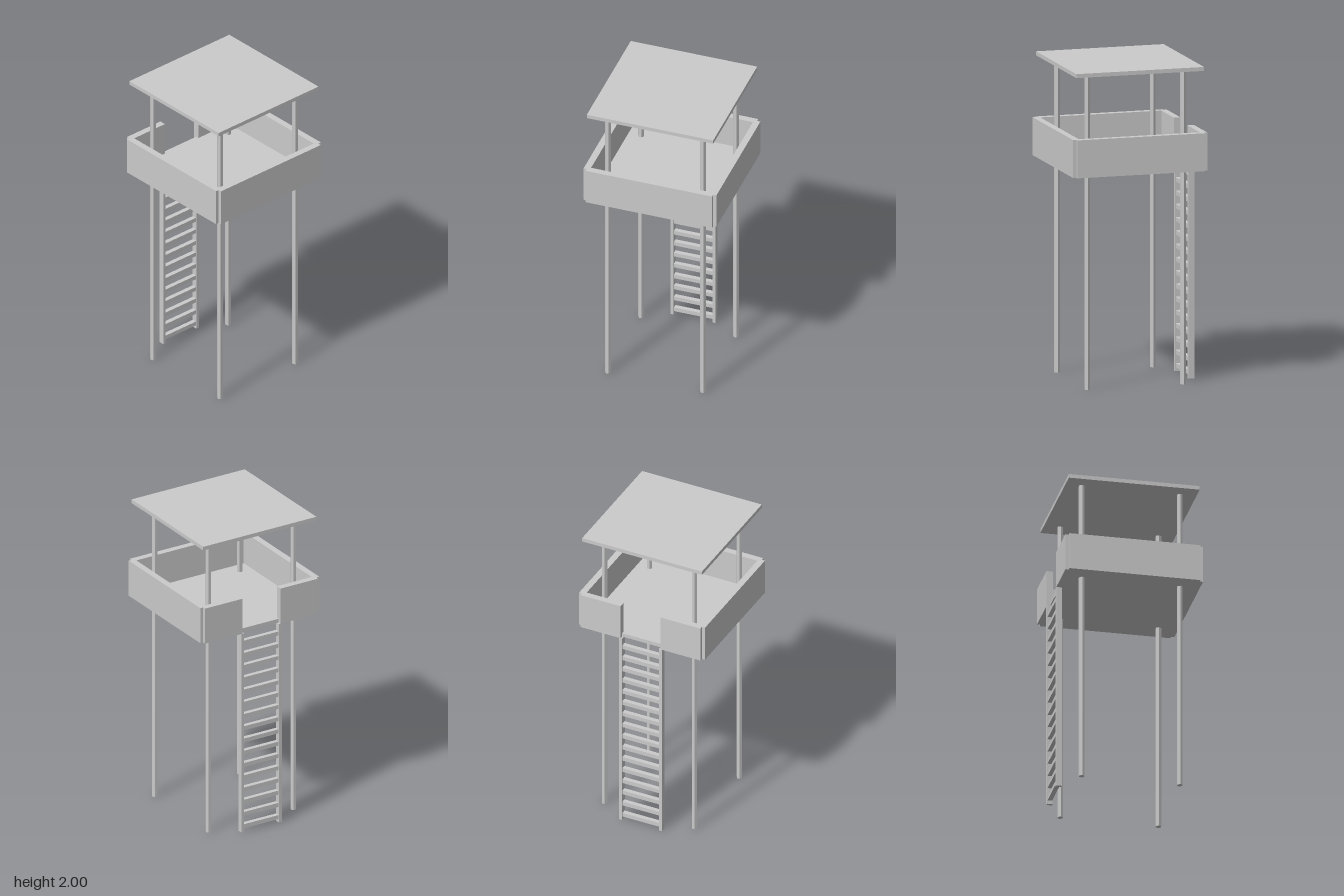
import * as THREE from 'three';

const HALF = 0.413;      // half width of platform and roof
const WALL = 0.042;      // wall thickness
const DECK_Y = 1.35;     // underside of the platform
const WALL_H = 0.238;

export function createModel() {
  const root = new THREE.Group();
  const material = new THREE.MeshStandardMaterial({ color: 0xcccccc, flatShading: true });

  function add(parent, name, geometry, x, y, z) {
    const mesh = new THREE.Mesh(geometry, material);
    mesh.name = name;
    mesh.position.set(x, y, z);
    parent.add(mesh);
  }
  const box = (parent, name, w, h, d, x, y, z) =>
    add(parent, name, new THREE.BoxGeometry(w, h, d), x, y, z);

  // Roof and platform floor
  box(root, 'roof', 2 * HALF, 0.025, 2 * HALF, 0, 1.9875, 0);
  box(root, 'floor', 2 * HALF, 0.025, 2 * HALF, 0, DECK_Y + 0.0125, 0);

  // Four hexagonal posts running from the ground to the roof
  const posts = new THREE.Group();
  posts.name = 'posts';
  root.add(posts);
  const postGeometry = new THREE.CylinderGeometry(0.0186, 0.0186, 1.98, 6);
  for (const x of [-0.31, 0.31])
    for (const z of [-0.31, 0.31]) add(posts, 'post', postGeometry, x, 0.99, z);

  // Parapet walls, with an opening on the ladder side
  const walls = new THREE.Group();
  walls.name = 'walls';
  root.add(walls);
  const wallY = DECK_Y + WALL_H / 2;
  const gap = 0.138;
  box(walls, 'frontWall', 2 * HALF, WALL_H, WALL, 0, wallY, HALF);
  box(walls, 'backWall', 2 * HALF, WALL_H, WALL, 0, wallY, -HALF);
  box(walls, 'leftWall', WALL, WALL_H, 2 * HALF, HALF, wallY, 0);
  for (const s of [-1, 1])
    box(walls, 'entranceWall', WALL, WALL_H, HALF - gap, -HALF, wallY, s * (HALF + gap) / 2);

  // Ladder: two rails and sixteen rungs
  const ladder = new THREE.Group();
  ladder.name = 'ladder';
  ladder.position.x = -0.4155;
  root.add(ladder);
  for (const s of [-1, 1]) box(ladder, 'rail', 0.037, DECK_Y, 0.02, 0, DECK_Y / 2, s * 0.137);
  for (let i = 0; i < 16; i++)
    box(ladder, 'rung', 0.029, 0.027, 0.26, 0, 0.037 + i * 0.0832, 0);

  return root;
}
